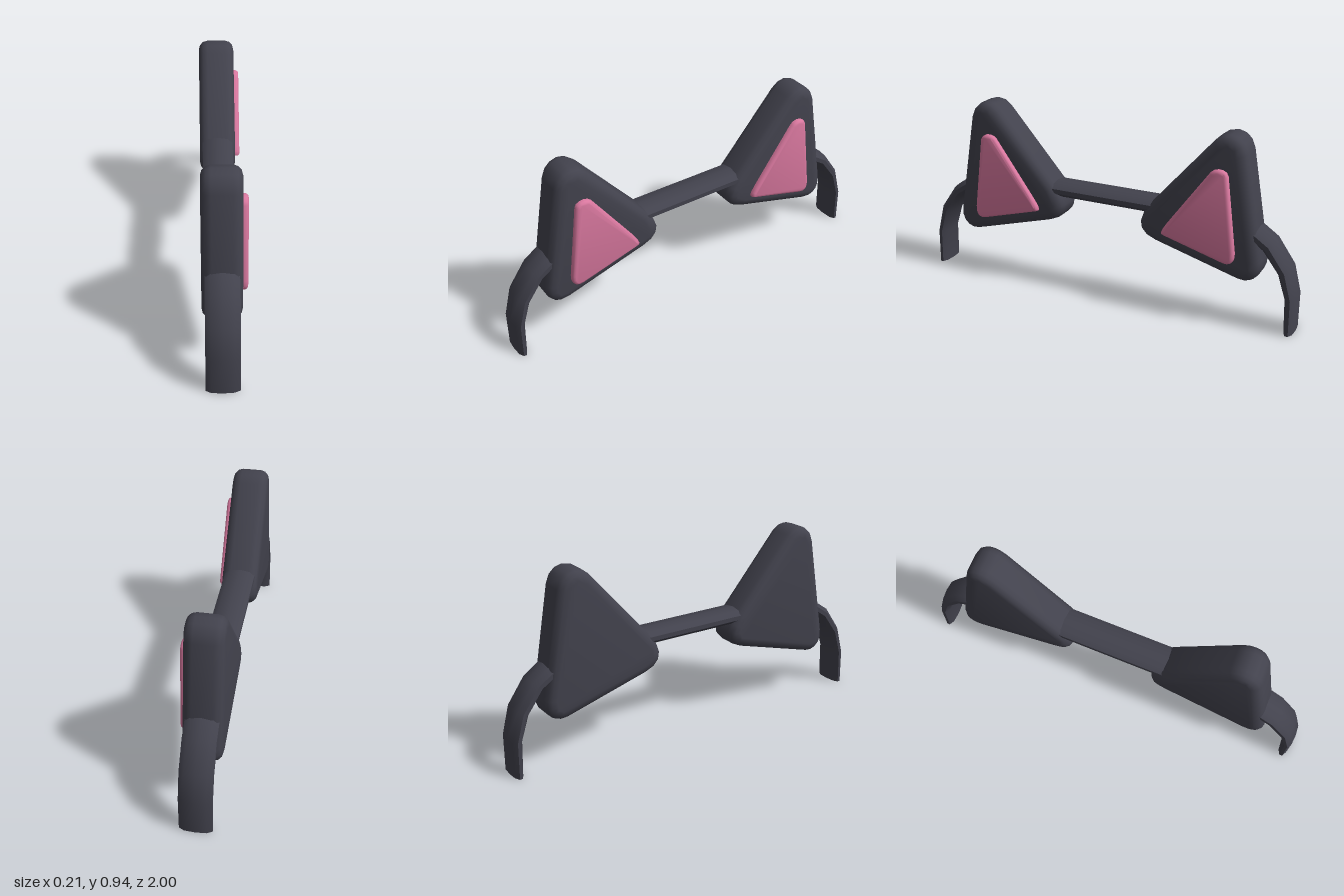
import * as THREE from 'three';
import { toCreasedNormals } from 'three/addons/utils/BufferGeometryUtils.js';

const shell = new THREE.MeshStandardMaterial({ color: 0x42424d });
shell.name = 'charcoal';
const pink = new THREE.MeshStandardMaterial({ color: 0xd9789f });
pink.name = 'pink';

// Triangle corners in (z, y): [curve start, sharp corner, curve end, roundness]
const EAR = [
  [[0.735, 0.858], [0.70, 1.05], [0.574, 0.906], 0.44],
  [[0.263, 0.55], [0.136, 0.405], [0.295, 0.36], 0.62],
  [[0.72, 0.24], [0.852, 0.203], [0.825, 0.345], 0.5],
];
const PAD = [
  [[0.660, 0.755], [0.646, 0.863], [0.575, 0.765], 0.3],
  [[0.386, 0.504], [0.325, 0.42], [0.35, 0.413], 0.85],
  [[0.654, 0.327], [0.718, 0.309], [0.708, 0.386], 0.6],
];

// Rounded triangle plate spanning x0..x1; side mirrors it along z
function plate(corners, side, x0, x1, bevel, inset) {
  const shape = new THREE.Shape();
  const mix = (a, b, k) => [a[0] + (b[0] - a[0]) * k, a[1] + (b[1] - a[1]) * k];
  corners.forEach(([a, c, b, k], i) => {
    const p = mix(a, c, k), q = mix(b, c, k);
    if (i === 0) shape.moveTo(a[0] * side, a[1]);
    else shape.lineTo(a[0] * side, a[1]);
    shape.bezierCurveTo(p[0] * side, p[1], q[0] * side, q[1], b[0] * side, b[1]);
  });
  const depth = x1 - x0 - 2 * bevel;
  const geo = new THREE.ExtrudeGeometry(shape, {
    depth, curveSegments: 5, bevelEnabled: true, bevelSegments: 3,
    bevelThickness: bevel, bevelSize: inset, bevelOffset: -inset,
  });
  geo.translate(0, 0, -depth / 2);
  geo.rotateY(-Math.PI / 2);
  geo.translate((x0 + x1) / 2, 0, 0);
  return toCreasedNormals(geo, 0.8);
}

// Flat band swept over the head; path entries are [z, y, half thickness]
function bandGeometry() {
  const half = [
    [0.975, 0, 0.024], [0.972, 0.18, 0.028], [0.935, 0.31, 0.033],
    [0.852, 0.425, 0.036], [0.77, 0.48, 0.037], [0.66, 0.515, 0.037],
    [0.45, 0.528, 0.037], [0.2, 0.528, 0.037],
  ];
  const path = [...half, ...half.slice().reverse().map(([z, y, t]) => [-z, y, t])];
  const section = [
    [0.077, -0.3], [0.077, 0.3], [0.052, 0.85], [0, 1], [-0.052, 0.85],
    [-0.077, 0.3], [-0.077, -0.3], [-0.052, -0.85], [0, -1], [0.052, -0.85],
  ];
  const n = section.length, last = path.length - 1;
  const pos = [], index = [];
  path.forEach(([z, y, t], i) => {
    const a = path[Math.max(i - 1, 0)], b = path[Math.min(i + 1, last)];
    let tz = b[0] - a[0], ty = b[1] - a[1];
    if (i === 0 || i === last) { tz = 0; ty = i === 0 ? 1 : -1; }
    const len = Math.hypot(tz, ty);
    for (const [x, s] of section) {
      pos.push(x - 0.014, y - (tz / len) * s * t, z + (ty / len) * s * t);
    }
  });
  for (let i = 0; i < last; i++) {
    for (let j = 0; j < n; j++) {
      const a = i * n + j, b = i * n + (j + 1) % n;
      index.push(a, a + n, b, b, a + n, b + n);
    }
  }
  // End caps
  for (let j = 1; j < n - 1; j++) {
    index.push(0, j, j + 1);
    index.push(last * n, last * n + j + 1, last * n + j);
  }
  const geo = new THREE.BufferGeometry();
  geo.setAttribute('position', new THREE.Float32BufferAttribute(pos, 3));
  geo.setIndex(index);
  return toCreasedNormals(geo, 0.8);
}

export function createModel() {
  const model = new THREE.Group();
  model.name = 'earHeadband';
  const add = (name, geo, mat) => {
    const mesh = new THREE.Mesh(geo, mat);
    mesh.name = name;
    model.add(mesh);
  };
  add('headband', bandGeometry(), shell);
  for (const [label, side] of [['front', 1], ['back', -1]]) {
    add(label + 'Ear', plate(EAR, side, -0.105, 0.078, 0.045, 0.045), shell);
    add(label + 'EarPad', plate(PAD, side, 0.04, 0.104, 0.018, 0.015), pink);
  }
  return model;
}
